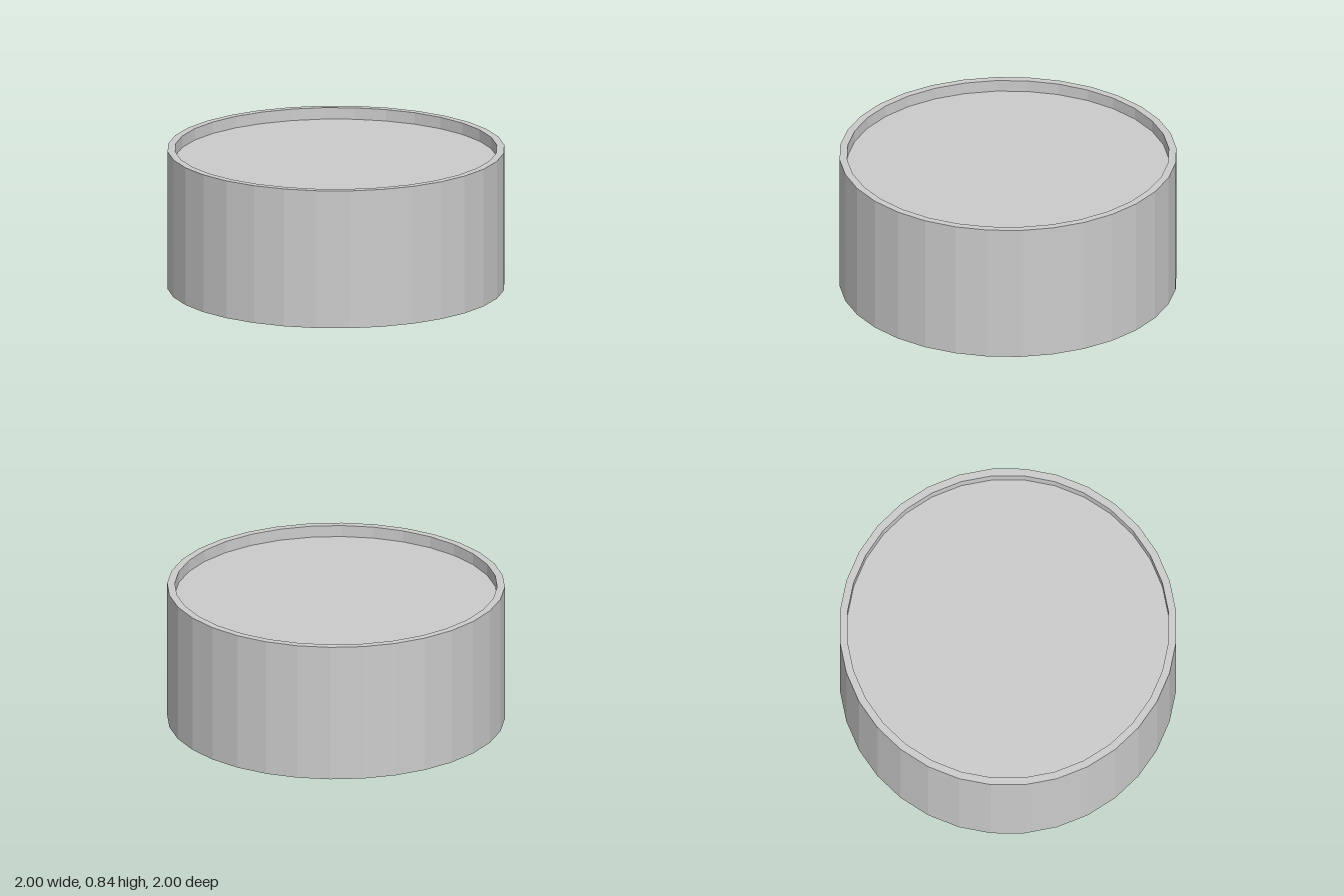
import * as THREE from 'three';

const SIDES = 32;
const RADIUS = 1, HEIGHT = 0.84;
const INNER_RADIUS = 0.955, FLOOR = 0.77;

export function createModel() {
  const group = new THREE.Group();
  group.name = 'recessedDrum';
  const material = new THREE.MeshStandardMaterial({ color: 0xcccccc, flatShading: true });

  // Closed profile: underside, outer wall, rim, inner wall, recessed top
  const profile = [
    [0, 0], [RADIUS, 0], [RADIUS, HEIGHT],
    [INNER_RADIUS, HEIGHT], [INNER_RADIUS, FLOOR], [0, FLOOR],
  ].map(([r, y]) => new THREE.Vector2(r, y));

  const drum = new THREE.Mesh(new THREE.LatheGeometry(profile, SIDES), material);
  drum.name = 'drumBody';
  group.add(drum);
  return group;
}
